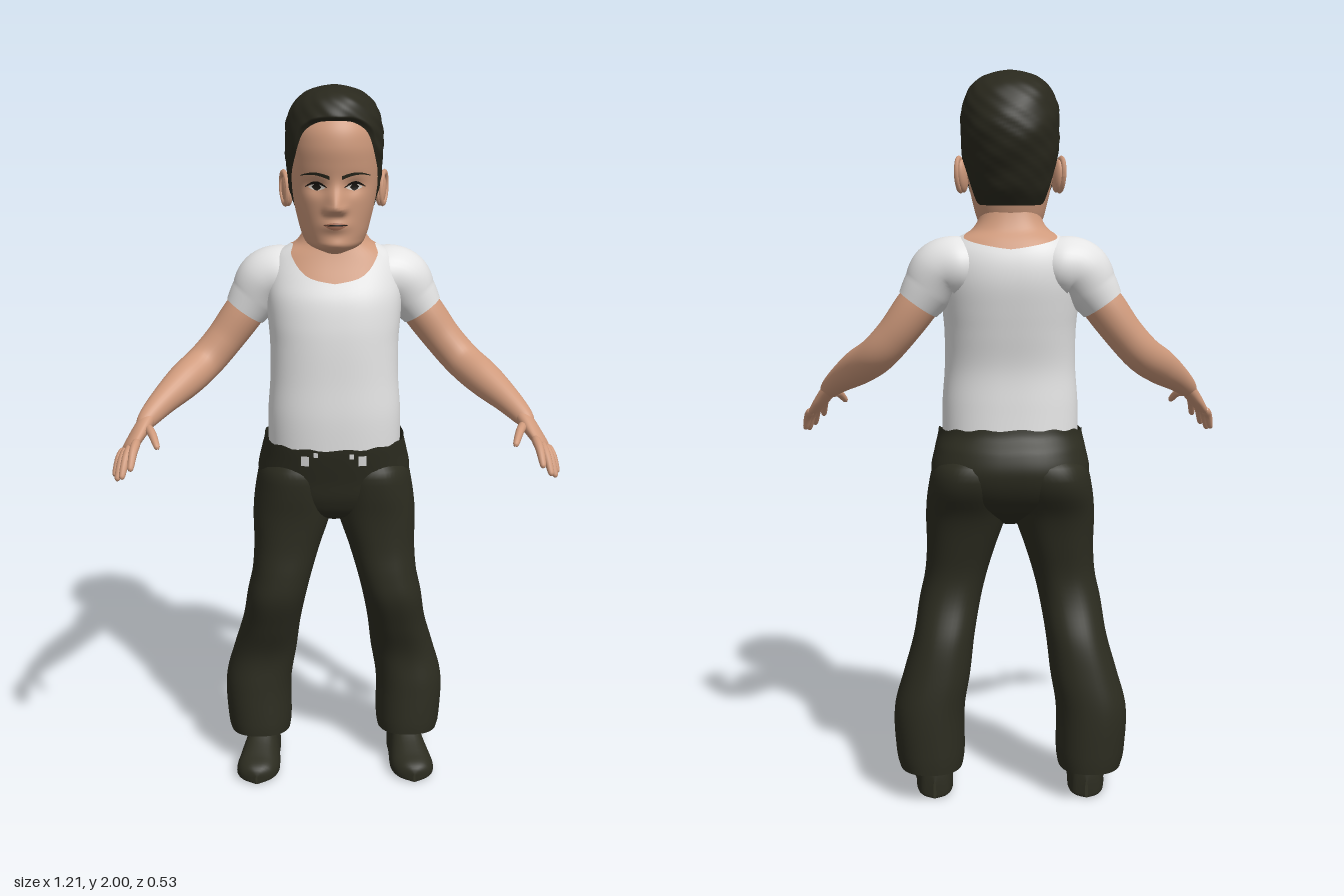
import * as THREE from 'three';

const material = (name, color, side = THREE.FrontSide) => {
  const m = new THREE.MeshStandardMaterial({ color, side });
  m.name = name;
  return m;
};

// Smooth interpolation of table rows whose first column is the key
function sample(rows, k) {
  const n = rows.length;
  let i = 0;
  while (i < n - 2 && k > rows[i + 1][0]) i++;
  const a = rows[i], b = rows[i + 1], p = rows[Math.max(i - 1, 0)], q = rows[Math.min(i + 2, n - 1)];
  const h = b[0] - a[0], t = THREE.MathUtils.clamp((k - a[0]) / h, 0, 1), t2 = t * t, t3 = t2 * t;
  return a.map((v, c) => {
    const ma = (b[c] - p[c]) / (b[0] - p[0]) * h, mb = (q[c] - a[c]) / (q[0] - a[0]) * h;
    return (2 * t3 - 3 * t2 + 1) * v + (t3 - 2 * t2 + t) * ma + (3 * t2 - 2 * t3) * b[c] + (t3 - t2) * mb;
  });
}

// Grid surface from f(u, v) -> [x, y, z]; closed joins the ends in u
function surface(f, nu, nv, closed = true) {
  const pos = [], idx = [], cols = closed ? nu : nu + 1;
  for (let j = 0; j <= nv; j++) for (let i = 0; i < cols; i++) pos.push(...f(i / nu, j / nv));
  for (let j = 0; j < nv; j++) for (let i = 0; i < nu; i++) {
    const a = j * cols + i, b = j * cols + (i + 1) % cols;
    idx.push(a, b, b + cols, a, b + cols, a + cols);
  }
  const g = new THREE.BufferGeometry();
  g.setAttribute('position', new THREE.Float32BufferAttribute(pos, 3));
  g.setIndex(idx);
  g.computeVertexNormals();
  return g;
}

const pow = (v, e) => Math.sign(v) * Math.abs(v) ** e;

// Point on a horizontal section [y, centre x, half width, front z, back z]; angle 0 is the front
function ring(r, th, ex, ez, cz = (r[3] + r[4]) / 2) {
  const c = Math.cos(th);
  return [r[1] + r[2] * pow(Math.sin(th), ex), r[0], cz + (c > 0 ? r[3] - cz : cz - r[4]) * pow(c, ez)];
}

// Loft between two heights, each of which may vary with the angle
function loft(rows, lo, hi, e = 0.85, nu = 64, nv = 40) {
  return surface((u, v) => {
    const th = u * Math.PI * 2;
    return ring(sample(rows, THREE.MathUtils.lerp(lo(th), hi(th), v)), th, e, e);
  }, nu, nv);
}

// Tapered limb through [x, y, z, radius along ref, other radius]
function limb(pts, ref, nu = 24, nv = 32) {
  const rows = pts.map((p, i) => [i, ...p]), last = pts.length - 1;
  const at = k => new THREE.Vector3(...sample(rows, k).slice(1, 4));
  return surface((u, v) => {
    const k = v * last, r = sample(rows, k), a = u * Math.PI * 2;
    const T = at(Math.min(k + 0.02, last)).sub(at(Math.max(k - 0.02, 0))).normalize();
    const W = new THREE.Vector3(...ref).addScaledVector(T, -T.dot(new THREE.Vector3(...ref))).normalize();
    const N = T.clone().cross(W);
    return at(k).addScaledVector(W, r[4] * Math.cos(a)).addScaledVector(N, r[5] * Math.sin(a)).toArray();
  }, nu, nv);
}

function mirror(geo) {
  const g = geo.clone().scale(-1, 1, 1), ix = g.index.array;
  for (let i = 0; i < ix.length; i += 3) [ix[i], ix[i + 1]] = [ix[i + 1], ix[i]];
  g.computeVertexNormals();
  return g;
}

const HEAD_Z = -0.07;
const headRows = [
  [1.555, 0, 0.03, 0.01, -0.09], [1.575, 0, 0.072, 0.06, -0.12], [1.6, 0, 0.088, 0.07, -0.15],
  [1.65, 0, 0.102, 0.075, -0.17], [1.7, 0, 0.113, 0.078, -0.19], [1.75, 0, 0.12, 0.08, -0.205],
  [1.8, 0, 0.123, 0.09, -0.213], [1.85, 0, 0.123, 0.096, -0.215], [1.9, 0, 0.115, 0.085, -0.2],
  [1.95, 0, 0.08, 0.045, -0.16], [1.975, 0, 0.04, -0.01, -0.11], [1.982, 0, 0.003, -0.067, -0.073]];
const hairRows = [
  [1.6, 0, 0.092, 0.0, -0.172], [1.65, 0, 0.106, 0.03, -0.188], [1.72, 0, 0.122, 0.06, -0.212],
  [1.78, 0, 0.13, 0.085, -0.235], [1.84, 0, 0.133, 0.1, -0.245], [1.9, 0, 0.13, 0.096, -0.228],
  [1.95, 0, 0.11, 0.082, -0.197], [1.98, 0, 0.077, 0.055, -0.15], [1.994, 0, 0.038, 0.01, -0.11],
  [2.0, 0, 0.003, -0.066, -0.074]];
const hairline = [[0, 1.915], [25, 1.91], [45, 1.88], [58, 1.82], [72, 1.76], [80, 1.69], [90, 1.68],
  [97, 1.73], [108, 1.7], [118, 1.65], [140, 1.64], [180, 1.64]];

// Nose, eye sockets, lips and chin
const bell = (d, s) => Math.exp(-((d / s) ** 2));
function faceBump(x, y) {
  return 0.036 * bell(x, 0.021) * bell(y - 1.688, y > 1.688 ? 0.045 : 0.015)
    + 0.01 * bell(Math.abs(x) - 0.02, 0.012) * bell(y - 1.683, 0.013)
    - 0.012 * bell(Math.abs(x) - 0.05, 0.028) * bell(y - 1.742, 0.02)
    + 0.011 * bell(x, 0.035) * bell(y - 1.64, 0.017) + 0.008 * bell(x, 0.04) * bell(y - 1.59, 0.016);
}
function headPoint(y, th) {
  const p = ring(sample(headRows, y), th, 1, 0.85, HEAD_Z), c = Math.cos(th);
  if (c > 0) p[2] += faceBump(p[0], y) * Math.min(1, c * 2);
  return p;
}
// Thin painted patch lying on the face between two height curves of t = 0..1
function facePatch(x0, x1, lo, hi, lift) {
  return surface((u, v) => {
    const x = THREE.MathUtils.lerp(x0, x1, u), y = THREE.MathUtils.lerp(lo(u), hi(u), v);
    const p = headPoint(y, Math.asin(x / sample(headRows, y)[2]));
    return [x, y, p[2] + lift];
  }, 16, 4, false);
}

export function createModel() {
  const model = new THREE.Group();
  model.name = 'boy';
  const skin = material('skin', 0xcf9a7c), shirt = material('white cotton', 0xe4e4e4, THREE.DoubleSide);
  const cloth = material('dark trousers', 0x2c2c20, THREE.DoubleSide), hairMat = material('dark hair', 0x29281d, THREE.DoubleSide);
  const dark = material('eye dark', 0x1c1813), white = material('eye white', 0xd8d0c8), lip = material('lip', 0xa87058);
  const add = (name, geo, mat) => {
    const m = new THREE.Mesh(geo, mat);
    m.name = name;
    model.add(m);
  };
  const pair = (name, geo, mat) => {
    add(name + 'Left', geo, mat);
    add(name + 'Right', mirror(geo), mat);
  };
  const flat = y => () => y;

  // Head and hair
  add('head', surface((u, v) => headPoint(1.555 + 0.427 * (0.5 - 0.5 * Math.cos(v * Math.PI)), u * Math.PI * 2), 112, 90), skin);
  add('hair', surface((u, v) => {
    const th = u * Math.PI * 2, deg = Math.abs(((u * 360 + 180) % 360) - 180);
    const y0 = sample(hairline, deg)[1], y = y0 + (2 - y0) * Math.sin(v * Math.PI / 2);
    const a = headPoint(y, th), b = ring(sample(hairRows, y), th, 0.95, 0.85, HEAD_Z);
    const s = y > 1.975 ? 1 : THREE.MathUtils.smoothstep(v, -0.03, 0.09);
    const tuft = 1 + 0.014 * Math.sin(th * 9 + y * 45) * Math.sin(y * 110 + th * 4) * s;
    return [(a[0] + (b[0] - a[0]) * s) * tuft, y, HEAD_Z + (a[2] + (b[2] - a[2]) * s - HEAD_Z) * tuft];
  }, 120, 50), hairMat);

  // Ears
  const place = (g, rx, ry, rz, x, y, z) => g.scale(rx, ry, rz).rotateX(-0.2).rotateY(-0.35).translate(x, y, z);
  pair('ear', place(new THREE.SphereGeometry(1, 20, 14), 0.014, 0.045, 0.026, 0.128, 1.718, -0.08), skin);
  pair('earRim', place(new THREE.TorusGeometry(1, 0.22, 8, 28).rotateY(Math.PI / 2), 0.03, 0.042, 0.026, 0.136, 1.722, -0.083), skin);

  // Eyes, brows and mouth
  const arc = (y, h) => t => y + h * Math.sin(Math.PI * t);
  pair('eyeWhite', facePatch(0.027, 0.073, arc(1.741, -0.008), arc(1.741, 0.011), 0.002), white);
  pair('iris', facePatch(0.038, 0.063, arc(1.742, -0.009), arc(1.742, 0.011), 0.004), dark);
  pair('lash', facePatch(0.023, 0.08, arc(1.741, 0.009), arc(1.743, 0.015), 0.004), dark);
  pair('brow', facePatch(0.016, 0.094, t => 1.763 + 0.012 * Math.sin(t * 2.6), t => 1.773 + 0.012 * Math.sin(t * 2.8) - 0.006 * t, 0.003), hairMat);
  add('mouth', facePatch(-0.034, 0.034, arc(1.643, -0.013), arc(1.643, 0.007), 0.0015), lip);
  add('mouthLine', facePatch(-0.033, 0.033, arc(1.642, -0.001), arc(1.643, 0.002), 0.003), dark);

  // Shirt body and the bare neck above its neckline
  const torso = [
    [0.98, 0, 0.187, 0.07, -0.2], [1.1, 0, 0.187, 0.074, -0.193], [1.2, 0, 0.18, 0.07, -0.19],
    [1.3, 0, 0.18, 0.067, -0.207], [1.36, 0, 0.185, 0.062, -0.218], [1.43, 0, 0.19, 0.048, -0.228],
    [1.48, 0, 0.187, 0.025, -0.226], [1.52, 0, 0.175, 0.005, -0.215], [1.55, 0, 0.15, -0.008, -0.198],
    [1.575, 0, 0.105, -0.016, -0.177], [1.62, 0, 0.08, -0.022, -0.16], [1.68, 0, 0.07, -0.03, -0.15]];
  const collar = [[0, 1.475], [20, 1.492], [40, 1.535], [60, 1.56], [90, 1.568], [130, 1.55], [180, 1.525]];
  const neckline = th => sample(collar, Math.abs(((th * 180 / Math.PI + 180) % 360) - 180))[1];
  add('shirtBody', loft(torso, flat(0.98), neckline), shirt);
  add('neck', loft(torso, neckline, flat(1.68), 0.85, 64, 20), skin);

  // Sleeves, arms and hands
  const zAxis = [0, 0, 1];
  pair('sleeve', limb([[0.07, 1.475, -0.12, 0.07, 0.06], [0.13, 1.475, -0.12, 0.095, 0.083],
    [0.185, 1.462, -0.12, 0.088, 0.086], [0.222, 1.415, -0.12, 0.074, 0.073], [0.25, 1.375, -0.119, 0.063, 0.061]], zAxis, 36), shirt);
  pair('arm', limb([[0.19, 1.45, -0.12, 0.05, 0.05], [0.25, 1.375, -0.118, 0.059, 0.057], [0.31, 1.295, -0.11, 0.055, 0.053],
    [0.365, 1.235, -0.085, 0.052, 0.052], [0.42, 1.195, -0.02, 0.049, 0.05], [0.475, 1.155, 0.05, 0.037, 0.038],
    [0.515, 1.12, 0.105, 0.025, 0.027], [0.53, 1.1, 0.13, 0.015, 0.015]], zAxis, 28, 48), skin);
  const across = [0.035, -0.03, -0.04];
  pair('palm', limb([[0.505, 1.13, 0.09, 0.022, 0.02], [0.525, 1.105, 0.122, 0.03, 0.021], [0.545, 1.078, 0.152, 0.036, 0.018],
    [0.56, 1.057, 0.176, 0.034, 0.014], [0.565, 1.05, 0.184, 0.004, 0.003]], across), skin);
  const fingers = {
    indexFinger: [[0.538, 1.078, 0.19], [0.55, 1.02, 0.262]], middleFinger: [[0.555, 1.063, 0.183], [0.575, 0.994, 0.25]],
    ringFinger: [[0.567, 1.053, 0.172], [0.59, 0.982, 0.226]], littleFinger: [[0.577, 1.045, 0.157], [0.598, 0.987, 0.202]],
    thumb: [[0.513, 1.103, 0.13], [0.479, 1.068, 0.22]] };
  for (const [name, [a, b]] of Object.entries(fingers)) {
    const stops = [[-0.15, 0.008], [0.1, 0.0125], [0.5, 0.0115], [0.88, 0.009], [0.97, 0.006], [1, 0.001]];
    pair(name, limb(stops.map(([t, r]) => [0, 1, 2].map(i => a[i] + (b[i] - a[i]) * t + (i === 1 ? 0.012 * Math.sin(Math.PI * t) : 0)).concat(r, r)), across, 12, 15), skin);
  }

  // Trousers: seat and two flared legs
  const seat = [
    [0.765, 0, 0.02, -0.07, -0.11], [0.8, 0, 0.13, 0.01, -0.18], [0.85, 0, 0.2, 0.045, -0.235], [0.92, 0, 0.218, 0.062, -0.262],
    [0.98, 0, 0.208, 0.076, -0.25], [1.02, 0, 0.199, 0.083, -0.224], [1.05, 0, 0.197, 0.083, -0.216]];
  add('trouserSeat', loft(seat, flat(0.765), th => 1.03 - 0.012 * Math.cos(th) + 0.003 * Math.sin(th * 14)), cloth);
  const leg = [
    [0.085, 0.222, 0.088, 0.0, -0.24], [0.12, 0.224, 0.095, 0.002, -0.242], [0.25, 0.226, 0.098, -0.008, -0.24],
    [0.35, 0.205, 0.093, -0.012, -0.23], [0.45, 0.185, 0.085, 0.022, -0.212], [0.55, 0.168, 0.086, 0.055, -0.175],
    [0.62, 0.152, 0.087, 0.055, -0.165], [0.7, 0.137, 0.096, 0.047, -0.178], [0.8, 0.121, 0.113, 0.048, -0.205],
    [0.88, 0.113, 0.112, 0.058, -0.25], [0.94, 0.108, 0.1, 0.058, -0.25], [0.98, 0.1, 0.07, 0.03, -0.2]];
  pair('trouserLeg', loft(leg, th => 0.09 + 0.012 * Math.cos(th), flat(0.98), 0.85, 48, 48), cloth);

  // Scraps of shirt showing over the waistband
  for (const [x, w, y, h] of [[-0.085, 0.022, 0.985, 0.03], [-0.055, 0.012, 1.005, 0.014], [0.045, 0.012, 1.0, 0.016], [0.075, 0.022, 0.985, 0.03]]) {
    add('shirtScrap', surface((u, v) => {
      const px = x + (u - 0.5) * w, py = y - h / 2 + v * h, r = sample(seat, py);
      const th = Math.asin((Math.abs(px) / r[2]) ** (1 / 0.85));
      return [px, py, ring(r, th, 0.85, 0.85)[2] + 0.003];
    }, 4, 4, false), shirt);
  }

  // Shoes: flat-soled sections along z as [z, centre x, half width, height]
  const shoe = [[-0.19, 0.212, 0.004, 0.05], [-0.18, 0.212, 0.035, 0.1], [-0.13, 0.213, 0.05, 0.13], [-0.06, 0.217, 0.052, 0.125],
    [0.0, 0.224, 0.06, 0.09], [0.05, 0.23, 0.062, 0.066], [0.085, 0.232, 0.046, 0.052], [0.1, 0.233, 0.02, 0.038], [0.104, 0.233, 0.003, 0.025]];
  pair('shoe', surface((u, v) => {
    const r = sample(shoe, -0.19 + 0.294 * (0.5 - 0.5 * Math.cos(v * Math.PI))), a = u * Math.PI * 2, s = Math.sin(a);
    return [r[1] + r[2] * pow(Math.cos(a), 0.8), 0.02 + (s > 0 ? (r[3] - 0.02) * s : 0.02 * pow(s, 0.5)), r[0]];
  }, 36, 32), cloth);

  return model;
}
